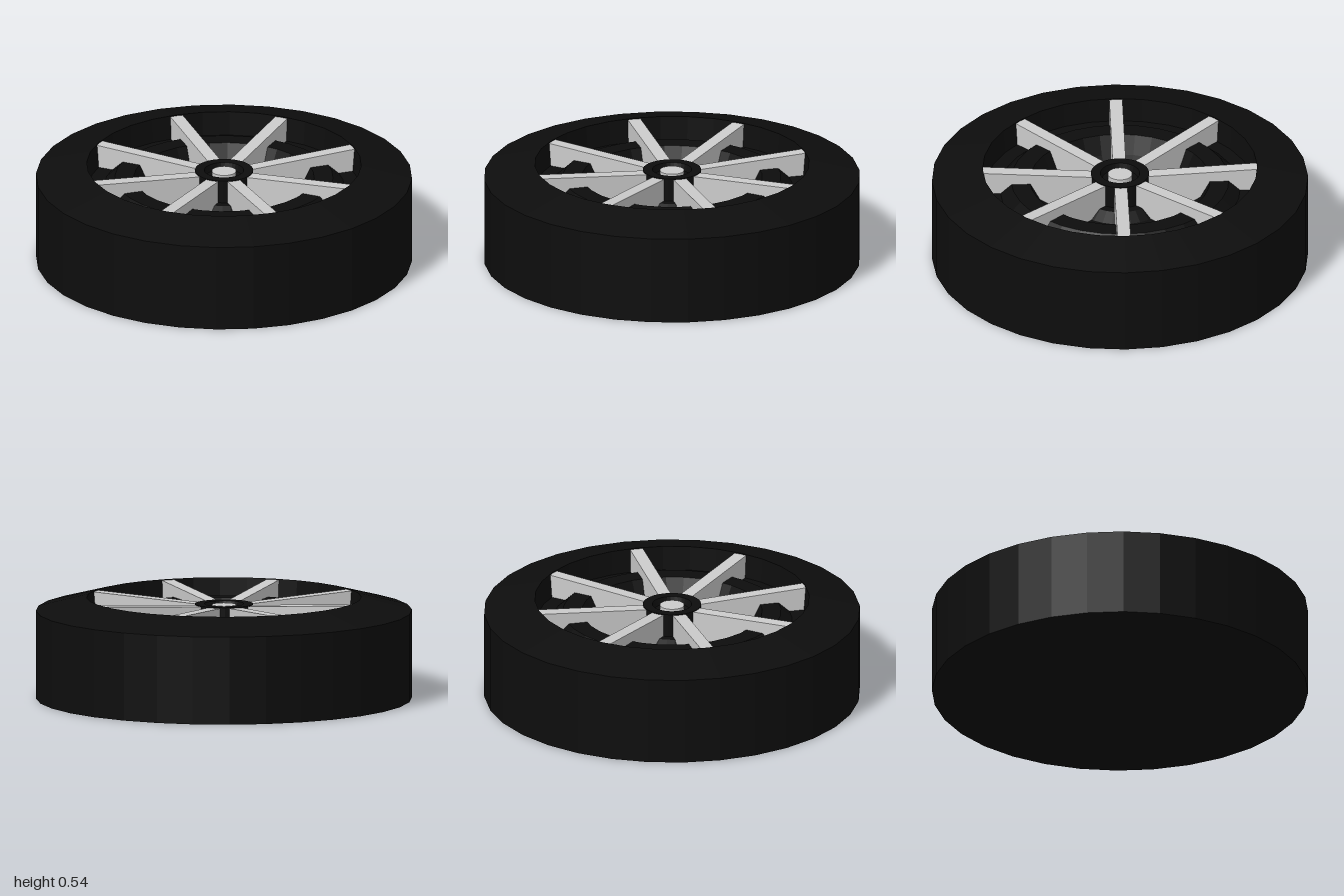
import * as THREE from 'three';

const SIDES = 32;
const dark = new THREE.MeshStandardMaterial({ color: 0x0d0d0d, flatShading: true });
const grey = new THREE.MeshStandardMaterial({ color: 0xcccccc, flatShading: true });

// Spin a list of [radius, height] pairs around the wheel's axis
function turned(name, profile, material) {
  const points = profile.map(([r, y]) => new THREE.Vector2(r, y));
  const mesh = new THREE.Mesh(new THREE.LatheGeometry(points, SIDES), material);
  mesh.name = name;
  return mesh;
}

export function createModel() {
  const wheel = new THREE.Group();
  wheel.name = 'wheel';

  // Tyre with a sloped shoulder
  wheel.add(turned('tyre', [[0, 0], [1, 0], [1, 0.47], [0.73, 0.54]], dark));

  // Dished rim with a raised ring halfway in
  wheel.add(turned('rim', [
    [0.73, 0.54], [0.72, 0.41], [0.64, 0.41], [0.58, 0.465], [0.48, 0.465],
    [0.43, 0.37], [0.38, 0.34], [0.26, 0.34], [0.2, 0.38], [0, 0.38],
  ], dark));

  // Hub collar with a recess around the centre cap
  wheel.add(turned('hub', [[0.155, 0.34], [0.155, 0.505], [0.105, 0.505], [0.095, 0.47], [0, 0.47]], dark));

  const cap = new THREE.Mesh(new THREE.CylinderGeometry(0.065, 0.065, 0.13, SIDES), grey);
  cap.name = 'centreCap';
  cap.position.y = 0.435;
  wheel.add(cap);

  // Spoke outline: radius along x, height along y, with an arch over the raised ring
  const outline = new THREE.Shape([
    [0.14, 0.5], [0.14, 0.36], [0.24, 0.33], [0.39, 0.33], [0.44, 0.37], [0.49, 0.45],
    [0.58, 0.45], [0.64, 0.4], [0.733, 0.4], [0.733, 0.535],
  ].map(([r, y]) => new THREE.Vector2(r, y)));
  const spokeGeometry = new THREE.ExtrudeGeometry(outline, { depth: 0.07, bevelEnabled: false });
  spokeGeometry.translate(0, 0, -0.035);

  const spokes = new THREE.Group();
  spokes.name = 'spokes';
  for (let i = 0; i < 8; i++) {
    const spoke = new THREE.Mesh(spokeGeometry, grey);
    spoke.name = 'spoke';
    spoke.rotation.y = (i * Math.PI) / 4;
    spokes.add(spoke);
  }
  wheel.add(spokes);

  return wheel;
}
